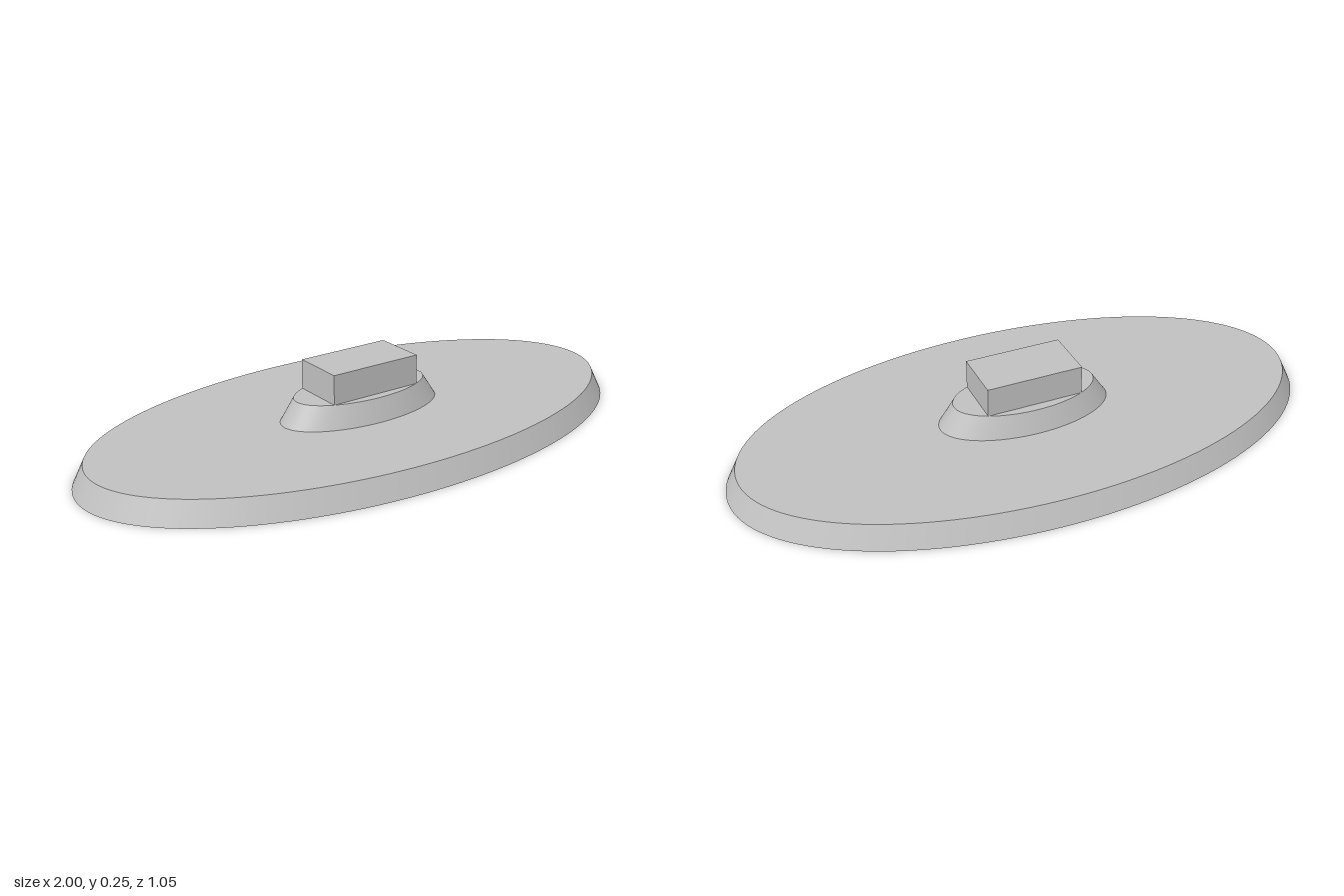
import * as THREE from 'three';

const SEGMENTS = 128;

// Elliptical slab with sloping sides: [x, z] radii at the bottom and at the top.
function ellipticalFrustum(bottom, top, y0, y1) {
  const geometry = new THREE.CylinderGeometry(1, 1, y1 - y0, SEGMENTS);
  const p = geometry.attributes.position;
  for (let i = 0; i < p.count; i++) {
    const [rx, rz] = p.getY(i) > 0 ? top : bottom;
    p.setX(i, p.getX(i) * rx);
    p.setZ(i, p.getZ(i) * rz);
  }
  geometry.translate(0, (y0 + y1) / 2, 0);
  geometry.computeVertexNormals();
  return geometry;
}

export function createModel() {
  const group = new THREE.Group();
  group.name = 'steppedPedestal';

  const grey = new THREE.MeshStandardMaterial({ color: 0xc0c0c0 });
  grey.name = 'lightGrey';

  const add = (name, geometry) => {
    const mesh = new THREE.Mesh(geometry, grey);
    mesh.name = name;
    group.add(mesh);
  };

  // Broad oval base
  add('base', ellipticalFrustum([1, 0.523], [0.963, 0.488], 0, 0.075));

  // Small oval step
  add('collar', ellipticalFrustum([0.297, 0.148], [0.247, 0.123], 0.075, 0.15));

  // Rectangular peg on top
  const peg = new THREE.BoxGeometry(0.33, 0.1, 0.184);
  peg.translate(0, 0.2, 0);
  add('peg', peg);

  return group;
}
